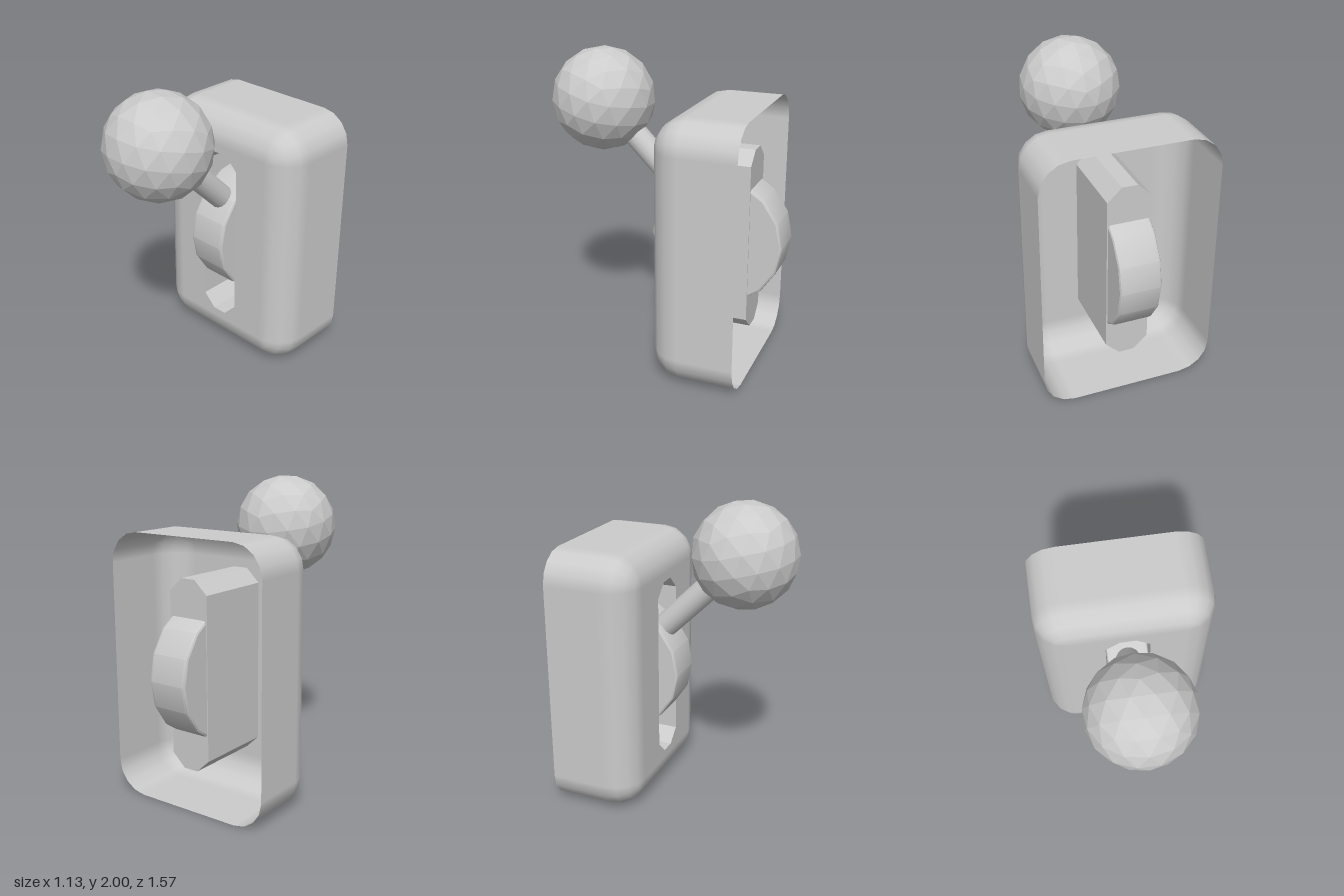
import * as THREE from 'three';
import { toCreasedNormals } from 'three/addons/utils/BufferGeometryUtils.js';

const grey = new THREE.MeshStandardMaterial({ color: 0xcccccc });
const thin = new THREE.MeshStandardMaterial({ color: 0xcccccc, side: THREE.DoubleSide });
const faceted = new THREE.MeshStandardMaterial({ color: 0xcccccc, flatShading: true });

const MID_Y = 0.855;      // height of the wheel axle and slot centre
const FRONT = -0.06, BACK = -0.625;

function add(parent, name, geometry, material, x = 0, y = 0, z = 0) {
  const mesh = new THREE.Mesh(geometry, material);
  mesh.name = name;
  mesh.position.set(x, y, z);
  parent.add(mesh);
  return mesh;
}

// Skin between closed loops of [x, y, z], listed front to back, counter-clockwise from the front
function loft(loops, normals) {
  const n = loops[0].length, index = [];
  for (let k = 0; k < loops.length - 1; k++) {
    for (let i = 0; i < n; i++) {
      const a = k * n + i, b = k * n + (i + 1) % n;
      index.push(a, a + n, b, b, a + n, b + n);
    }
  }
  const geo = new THREE.BufferGeometry();
  geo.setAttribute('position', new THREE.Float32BufferAttribute(loops.flat(2), 3));
  geo.setIndex(index);
  if (normals) geo.setAttribute('normal', new THREE.Float32BufferAttribute(normals.flat(2), 3));
  else geo.computeVertexNormals();
  return geo;
}

// Rounded sides of the open-backed housing
function housingSides(halfW, halfH, radius, steps) {
  const loops = [], normals = [];
  const corners = [[1, 1], [-1, 1], [-1, -1], [1, -1]];
  for (let k = 0; k <= steps + 1; k++) {
    const phi = Math.min(k / steps, 1) * Math.PI / 2;
    const s = Math.sin(phi), c = Math.cos(phi);
    const z = k > steps ? BACK : FRONT - radius + radius * c;
    const loop = [], normal = [];
    corners.forEach(([sx, sy], q) => {
      for (let i = 0; i <= steps; i++) {
        const a = (q + i / steps) * Math.PI / 2;
        const nx = Math.cos(a) * s, ny = Math.sin(a) * s;
        loop.push([sx * (halfW - radius) + radius * nx, sy * (halfH - radius) + radius * ny, z]);
        normal.push([nx, ny, c]);
      }
    });
    loops.push(loop);
    normals.push(normal);
  }
  return loft(loops, normals);
}

export function createModel() {
  const model = new THREE.Group();
  model.name = 'leverSwitch';

  // Housing: curved sides and a flat front with a slot
  const halfW = 0.565, halfH = 0.852, radius = 0.2;
  const housing = new THREE.Group();
  housing.name = 'housing';
  housing.position.y = halfH;
  model.add(housing);
  add(housing, 'housingSides', housingSides(halfW, halfH, radius, 4), thin);

  const w = halfW - radius, h = halfH - radius;
  const slot = [[0.14, 0.515], [0.05, 0.6], [-0.05, 0.6], [-0.14, 0.515],
    [-0.14, -0.515], [-0.05, -0.6], [0.05, -0.6], [0.14, -0.515]];
  const slotPoints = slot.map(([x, y]) => new THREE.Vector2(x, y));
  const face = new THREE.Shape([[w, h], [-w, h], [-w, -h], [w, -h]].map(([x, y]) => new THREE.Vector2(x, y)));
  face.holes.push(new THREE.Path(slotPoints));
  add(housing, 'housingFront', new THREE.ShapeGeometry(face), thin, 0, 0, FRONT);

  // Slot well: walls running back to a closed end
  const wellBack = -0.58;
  const walls = loft([FRONT, wellBack].map(z => slot.map(([x, y]) => [x, y, z])));
  add(housing, 'slotWalls', toCreasedNormals(walls, 0.3), thin);
  add(housing, 'slotBack', new THREE.ShapeGeometry(new THREE.Shape(slotPoints)), thin, 0, 0, wellBack);

  // Pivot wheel with lightly bevelled rims
  const rim = [[0, -0.133], [0.415, -0.133], [0.426, -0.127], [0.43, -0.115],
    [0.43, 0.115], [0.426, 0.127], [0.415, 0.133], [0, 0.133]];
  const wheelGeo = new THREE.LatheGeometry(rim.map(([x, y]) => new THREE.Vector2(x, y)), 16);
  const wheel = add(model, 'pivotWheel', toCreasedNormals(wheelGeo, 0.45), grey, 0, MID_Y, -0.36);
  wheel.rotation.z = Math.PI / 2;

  // Lever: a rod leaning forward from the axle, with a faceted knob
  const lever = new THREE.Group();
  lever.name = 'lever';
  lever.position.set(0, MID_Y, -0.36);
  lever.rotation.x = Math.PI / 4;
  model.add(lever);
  const reach = 1.153;
  add(lever, 'rod', new THREE.CylinderGeometry(0.08, 0.08, 0.85, 16), grey, 0, 0.675, 0);
  add(lever, 'knob', new THREE.IcosahedronGeometry(0.333, 2), faceted, 0, reach, 0);

  return model;
}
